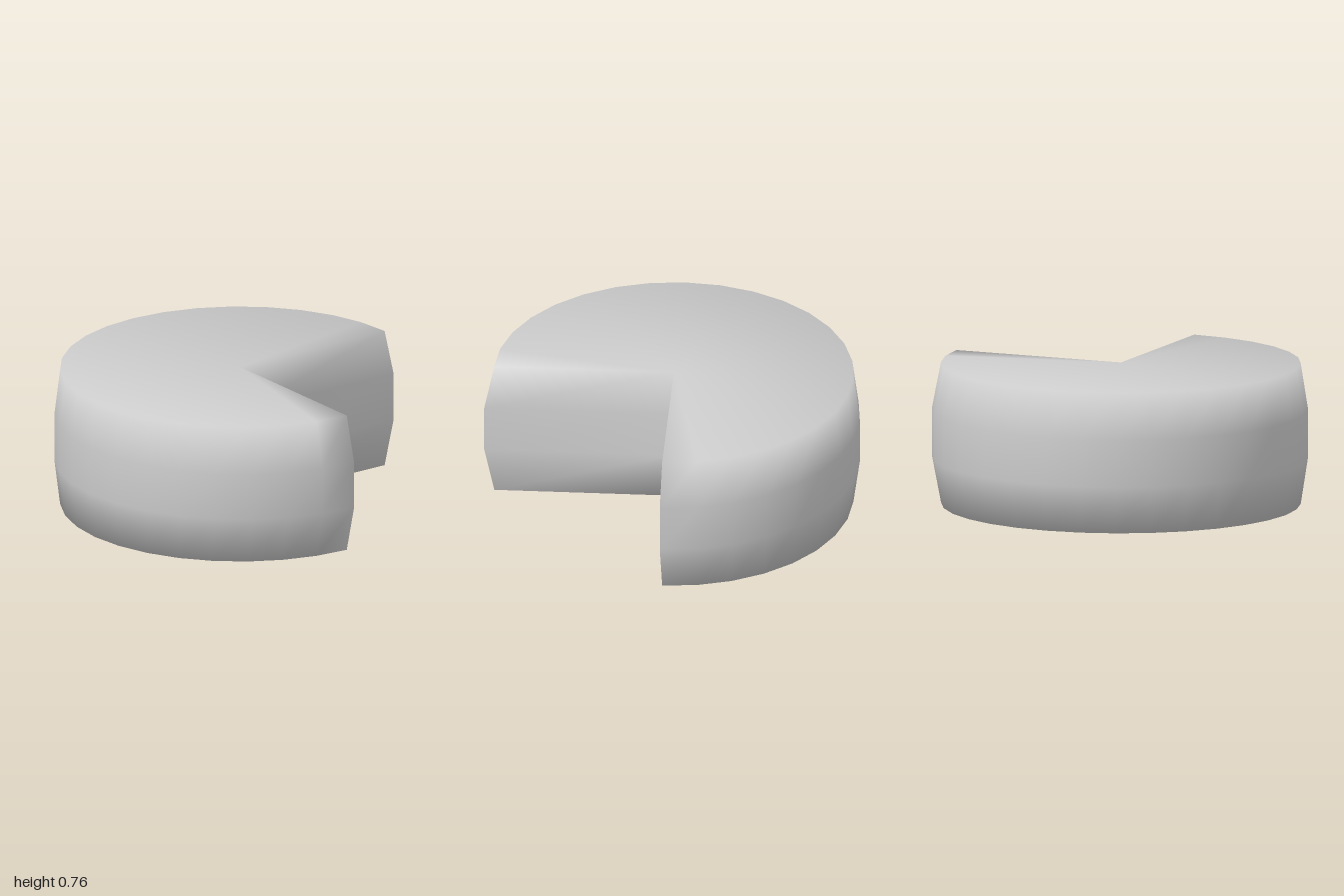
import * as THREE from 'three';

const SEGMENTS = 24;                       // facets around the three-quarter arc
const HEIGHT = 0.757;
const CENTRE = -0.21;                      // centroid of the sector in x and z
// Cross-sections: height and scale about the centroid
const RINGS = [[0, 0.956], [HEIGHT / 3, 1], [HEIGHT * 2 / 3, 1], [HEIGHT, 0.956]];

// Closed outline of the sector: rim points, then the notch corner
function sectorOutline() {
  const points = [];
  for (let i = 0; i <= SEGMENTS; i++) {
    const t = (i / SEGMENTS) * Math.PI * 1.5;
    points.push([-Math.sin(t), Math.cos(t)]);
  }
  points.push([0, 0]);
  return points;
}

function bulgedSector() {
  const outline = sectorOutline();
  const n = outline.length;
  const apex = n - 1;
  const positions = [];
  const index = [];

  for (const [y, s] of RINGS) {
    for (const [x, z] of outline) {
      positions.push(CENTRE + (x - CENTRE) * s, y, CENTRE + (z - CENTRE) * s);
    }
  }

  // Side walls, including both notch walls
  for (let k = 0; k < RINGS.length - 1; k++) {
    for (let i = 0; i < n; i++) {
      const a = k * n + i;
      const b = k * n + (i + 1) % n;
      index.push(b, a, a + n, b, a + n, b + n);
    }
  }

  // Flat caps, fanned from the notch corner
  const top = (RINGS.length - 1) * n;
  for (let i = 0; i < SEGMENTS; i++) {
    index.push(apex, i, i + 1);
    index.push(top + apex, top + i + 1, top + i);
  }

  const geometry = new THREE.BufferGeometry();
  geometry.setAttribute('position', new THREE.Float32BufferAttribute(positions, 3));
  geometry.setIndex(index);
  geometry.computeVertexNormals();         // shared corners give soft shading throughout
  return geometry;
}

export function createModel() {
  const group = new THREE.Group();
  group.name = 'threeQuarterWheel';
  const body = new THREE.Mesh(bulgedSector(), new THREE.MeshStandardMaterial({ color: 0xcccccc }));
  body.name = 'sectorBody';
  group.add(body);
  return group;
}
